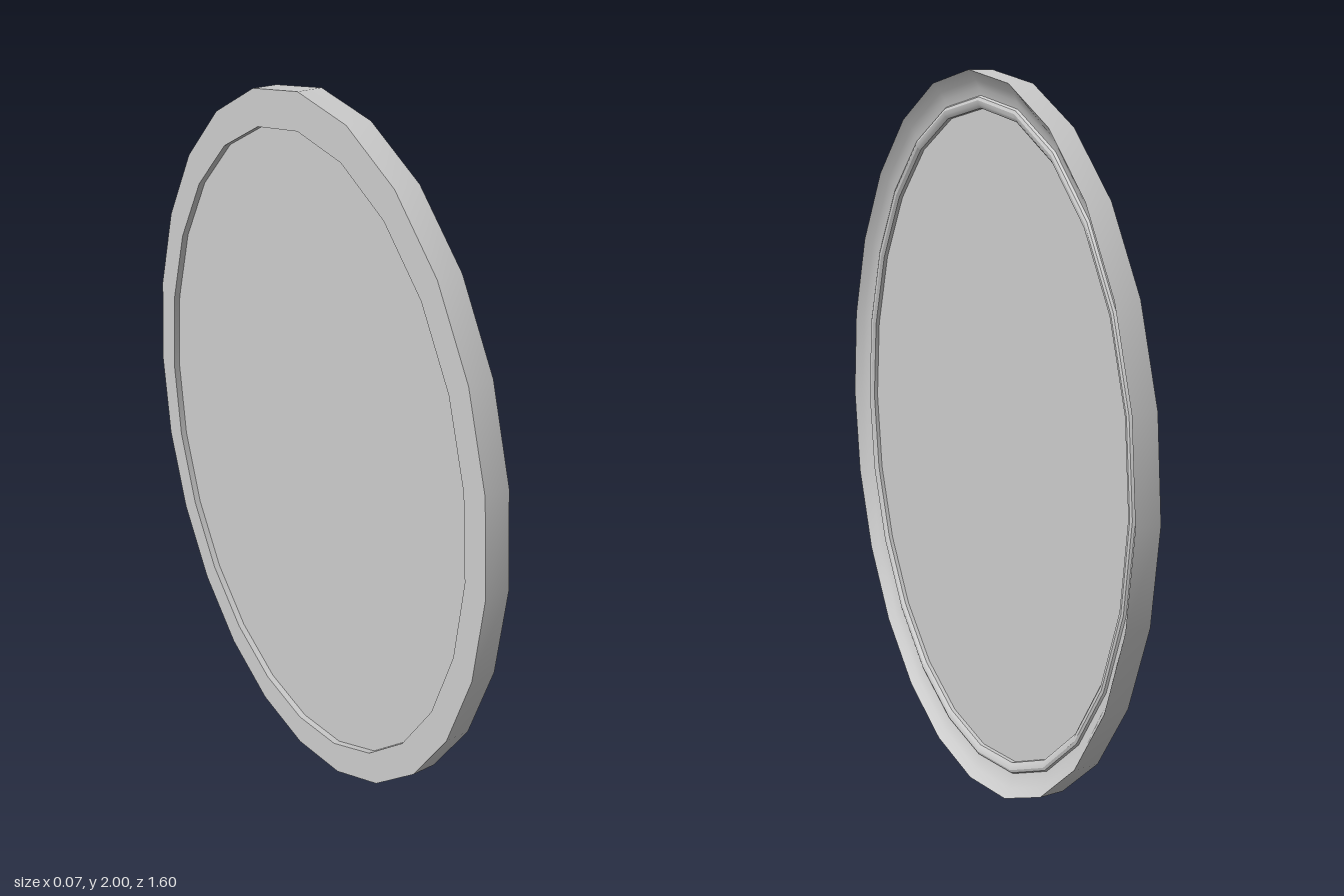
import * as THREE from 'three';
import { toCreasedNormals } from 'three/addons/utils/BufferGeometryUtils.js';

const SIDES = 24;

// Turn a round part about y into an upright oval facing +x, standing on y = 0
function toOval(geometry) {
  geometry.rotateZ(-Math.PI / 2).scale(1, 1, 0.8).translate(0, 1, 0);
  return toCreasedNormals(geometry, 0.5);
}

export function createModel() {
  const group = new THREE.Group();
  group.name = 'ovalFrame';
  const material = new THREE.MeshStandardMaterial({ color: 0xcccccc });

  // Moulding section (radius, depth): flat back, straight rim, hollow slope, small bead
  const profile = [
    [0.904, -0.035], [1, -0.035], [1, 0.035],
    [0.975, 0.016], [0.955, 0.005], [0.936, 0],
    [0.932, 0.006], [0.924, 0.009], [0.913, 0.007], [0.904, 0],
    [0.904, -0.035],
  ].map(([r, d]) => new THREE.Vector2(r, d));
  const frame = new THREE.Mesh(toOval(new THREE.LatheGeometry(profile, SIDES)), material);
  frame.name = 'frame';
  group.add(frame);

  // Thin panel seated inside the frame
  const disc = new THREE.CylinderGeometry(0.91, 0.91, 0.006, SIDES);
  disc.translate(0, -0.014, 0);
  const panel = new THREE.Mesh(toOval(disc), material);
  panel.name = 'panel';
  group.add(panel);

  return group;
}
